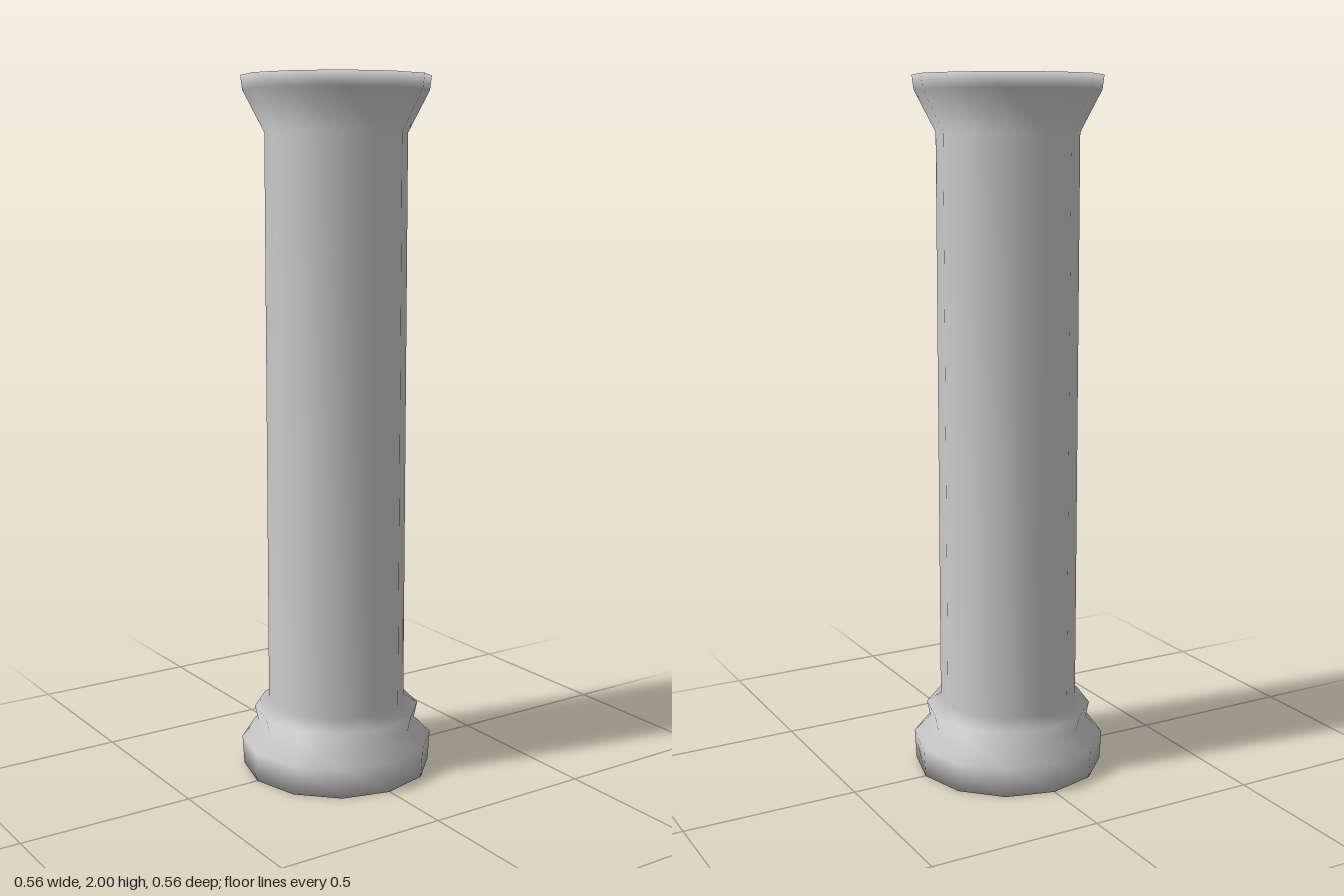
import * as THREE from 'three';

const SIDES = 12;

export function createModel() {
  const group = new THREE.Group();
  group.name = 'column';

  // Radius and height pairs from the underside centre up to the top centre
  const profile = [
    [0, 0], [0.275, 0], [0.28, 0.085],      // foot
    [0.232, 0.133], [0.242, 0.178],         // neck and lip
    [0.2, 0.205], [0.2, 1.845],             // shaft
    [0.26, 1.96], [0.265, 2], [0, 2],       // flared capital
  ].map(([r, y]) => new THREE.Vector2(r, y));

  // One turned body, smooth across the whole surface
  const body = new THREE.Mesh(
    new THREE.LatheGeometry(profile, SIDES),
    new THREE.MeshStandardMaterial({ color: 0xcccccc })
  );
  body.name = 'columnBody';
  group.add(body);
  return group;
}
